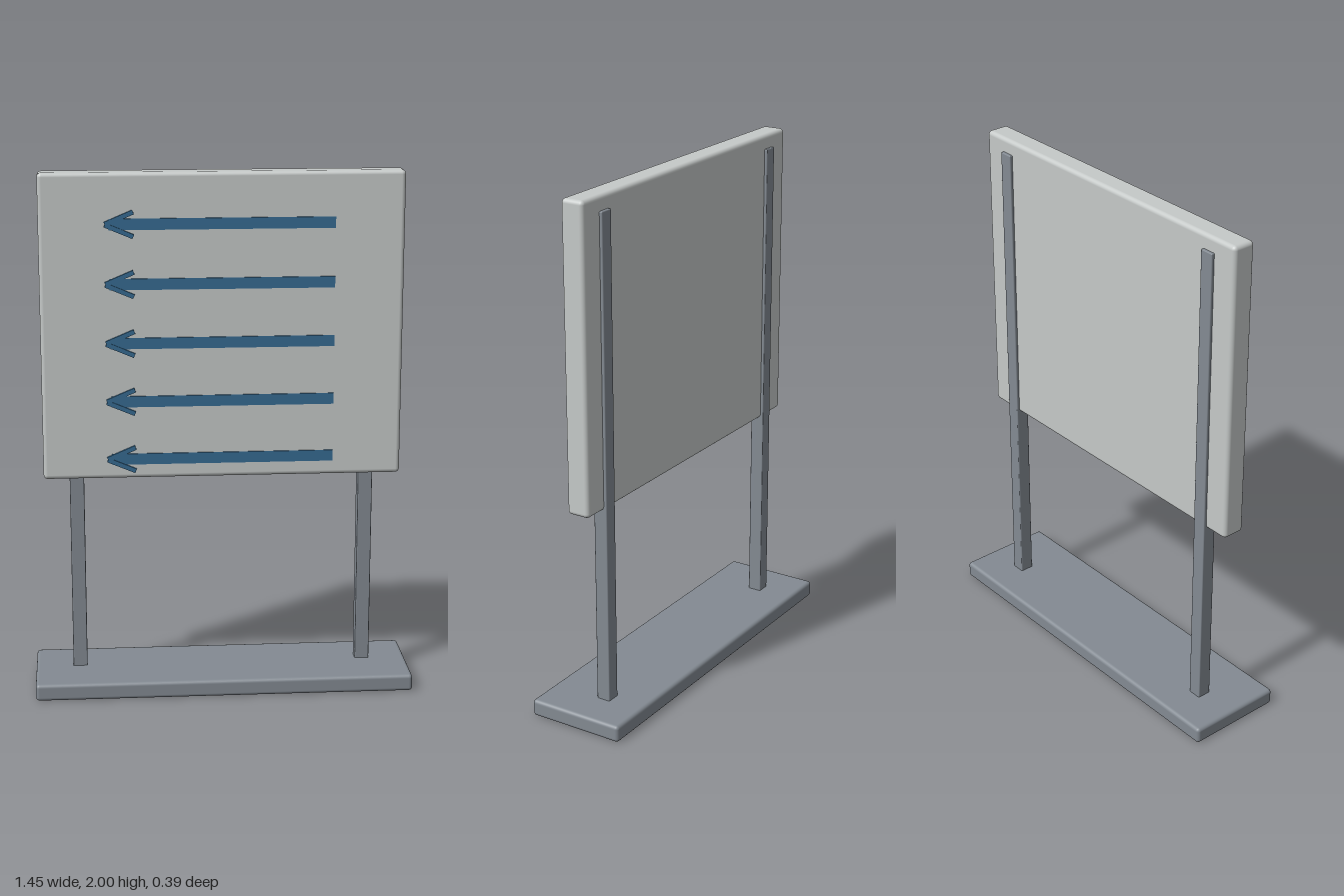
import * as THREE from 'three';
import { RoundedBoxGeometry } from 'three/addons/geometries/RoundedBoxGeometry.js';

export function createModel() {
  const model = new THREE.Group();
  model.name = 'signStand';

  const mat = (name, color) => {
    const m = new THREE.MeshStandardMaterial({ color });
    m.name = name;
    return m;
  };
  const panelGrey = mat('panelGrey', 0xc5c9c8);
  const frameGrey = mat('frameGrey', 0x838a92);
  const arrowBlue = mat('arrowBlue', 0x366b92);

  const add = (parent, name, geometry, material, x, y, z) => {
    const mesh = new THREE.Mesh(geometry, material);
    mesh.name = name;
    mesh.position.set(x, y, z);
    parent.add(mesh);
    return mesh;
  };

  // Base plate and board, both with softened edges
  add(model, 'base', new RoundedBoxGeometry(1.454, 0.066, 0.386, 3, 0.014), frameGrey, 0, 0.033, 0);
  add(model, 'board', new RoundedBoxGeometry(1.36, 1.16, 0.092, 3, 0.016), panelGrey, 0, 1.42, 0);

  // Posts run from the base up the back of the board
  const postGeometry = new RoundedBoxGeometry(0.055, 1.89, 0.055, 2, 0.004);
  for (const [name, side] of [['leftPost', 1], ['rightPost', -1]]) {
    add(model, name, postGeometry, frameGrey, side * 0.555, 1.0, -0.03);
  }

  // Five arrows: a flat shaft and two slanted barbs that stand slightly prouder
  const shaftGeometry = new THREE.BoxGeometry(0.84, 0.042, 0.008);
  const barbGeometry = new THREE.BoxGeometry(0.114, 0.017, 0.0095);
  for (let i = 0; i < 5; i++) {
    const arrow = new THREE.Group();
    arrow.name = 'arrow' + (i + 1);
    arrow.position.set(0, 1.81 - i * 0.2235, 0);
    add(arrow, 'arrowShaft', shaftGeometry, arrowBlue, 0, 0, 0.0465);
    for (const s of [1, -1]) {
      const barb = add(arrow, 'arrowBarb', barbGeometry, arrowBlue, -0.383, s * 0.0235, 0.0502);
      barb.rotation.z = s * 0.4;
    }
    model.add(arrow);
  }

  return model;
}
